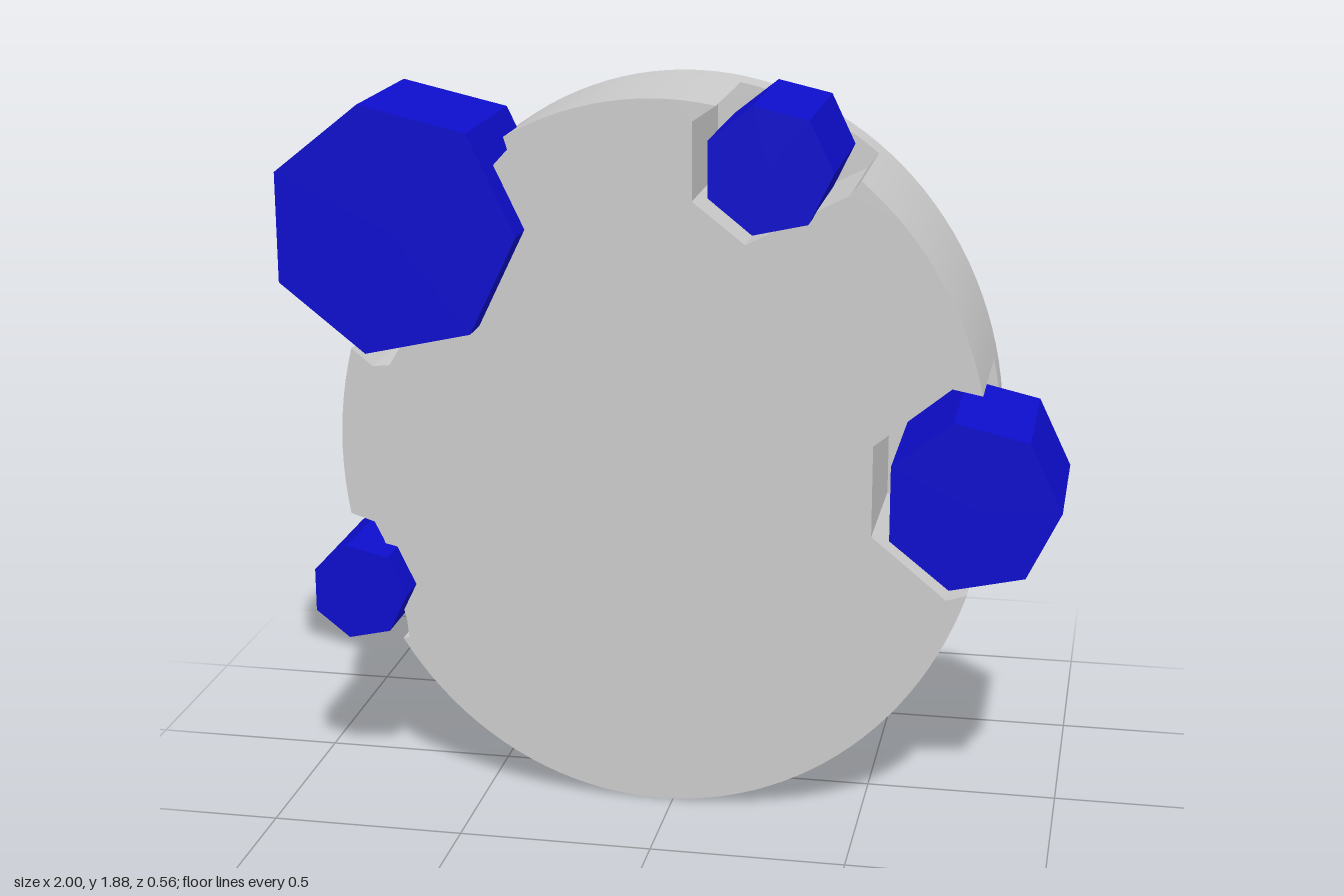
import * as THREE from 'three';
import { toCreasedNormals } from 'three/addons/utils/BufferGeometryUtils.js';

// Oval outline of the disc
const CX = -0.035, CY = 0.9375, RX = 0.845, RY = 0.9375;
const rimPoint = (t) => new THREE.Vector2(CX + RX * Math.cos(t), CY + RY * Math.sin(t));
const rimAngle = ([x, y]) => Math.atan2((y - CY) / RY, (x - CX) / RX);

// Points along the rim, counter-clockwise from angle a to angle b
function rimArc(a, b) {
  while (b < a) b += Math.PI * 2;
  const n = Math.max(4, Math.ceil((b - a) / 0.05));
  return Array.from({ length: n + 1 }, (_, i) => rimPoint(a + ((b - a) * i) / n));
}

// Pockets cut into the rim, counter-clockwise; first and last points lie on the rim
const POCKETS = [
  [[0.77, 0.625], [0.71, 0.61], [0.515, 0.77], [0.515, 1.01], [0.71, 1.17], [0.785, 1.155]],
  [[0.473, 1.688], [0.445, 1.65], [0.185, 1.515], [0.05, 1.62], [0.05, 1.82], [0.11, 1.863]],
  [[-0.43, 1.767], [-0.42, 1.735], [-0.47, 1.68], [-0.715, 1.21], [-0.745, 1.16], [-0.79, 1.155], [-0.846, 1.2]],
  [[-0.863, 0.75], [-0.8, 0.73], [-0.775, 0.68], [-0.72, 0.46], [-0.715, 0.41], [-0.733, 0.405]],
];

// Heptagonal pegs: centre x, centre y, radius
const PEGS = [
  ['rightUpperPeg', -0.707, 1.532, 0.328],
  ['topPeg', 0.253, 1.72, 0.164],
  ['leftPeg', 0.773, 0.89, 0.225],
  ['rightLowerPeg', -0.8215, 0.562, 0.1305],
];

function slab(name, points, z0, z1, material) {
  const geometry = new THREE.ExtrudeGeometry(new THREE.Shape(points), {
    depth: z1 - z0, bevelEnabled: false,
  });
  geometry.translate(0, 0, z0);
  const mesh = new THREE.Mesh(toCreasedNormals(geometry, 0.3), material);
  mesh.name = name;
  return mesh;
}

export function createModel() {
  const group = new THREE.Group();
  group.name = 'discWithPegs';
  const grey = new THREE.MeshStandardMaterial({ color: 0xcccccc });
  const blue = new THREE.MeshStandardMaterial({ color: 0x0d0dcc, flatShading: true });

  // Thin full plate at the back, forming the floor of the pockets
  const plate = rimArc(0, Math.PI * 2).slice(0, -1);
  group.add(slab('backPlate', plate, -0.28, -0.185, grey));

  // Thick notched disc in front of it
  const outline = [];
  POCKETS.forEach((pocket, i) => {
    const next = POCKETS[(i + 1) % POCKETS.length];
    pocket.slice(1, -1).forEach(([x, y]) => outline.push(new THREE.Vector2(x, y)));
    outline.push(...rimArc(rimAngle(pocket[pocket.length - 1]), rimAngle(next[0])));
  });
  group.add(slab('notchedDisc', outline, -0.185, 0.19, grey));

  // Pegs sitting in the pockets, one corner pointing to +x
  for (const [name, x, y, r] of PEGS) {
    const geometry = new THREE.CylinderGeometry(r, r, 0.415, 7, 1, false, Math.PI / 2);
    geometry.rotateX(Math.PI / 2);
    const peg = new THREE.Mesh(geometry, blue);
    peg.name = name;
    peg.position.set(x, y, 0.0725);
    group.add(peg);
  }
  return group;
}
